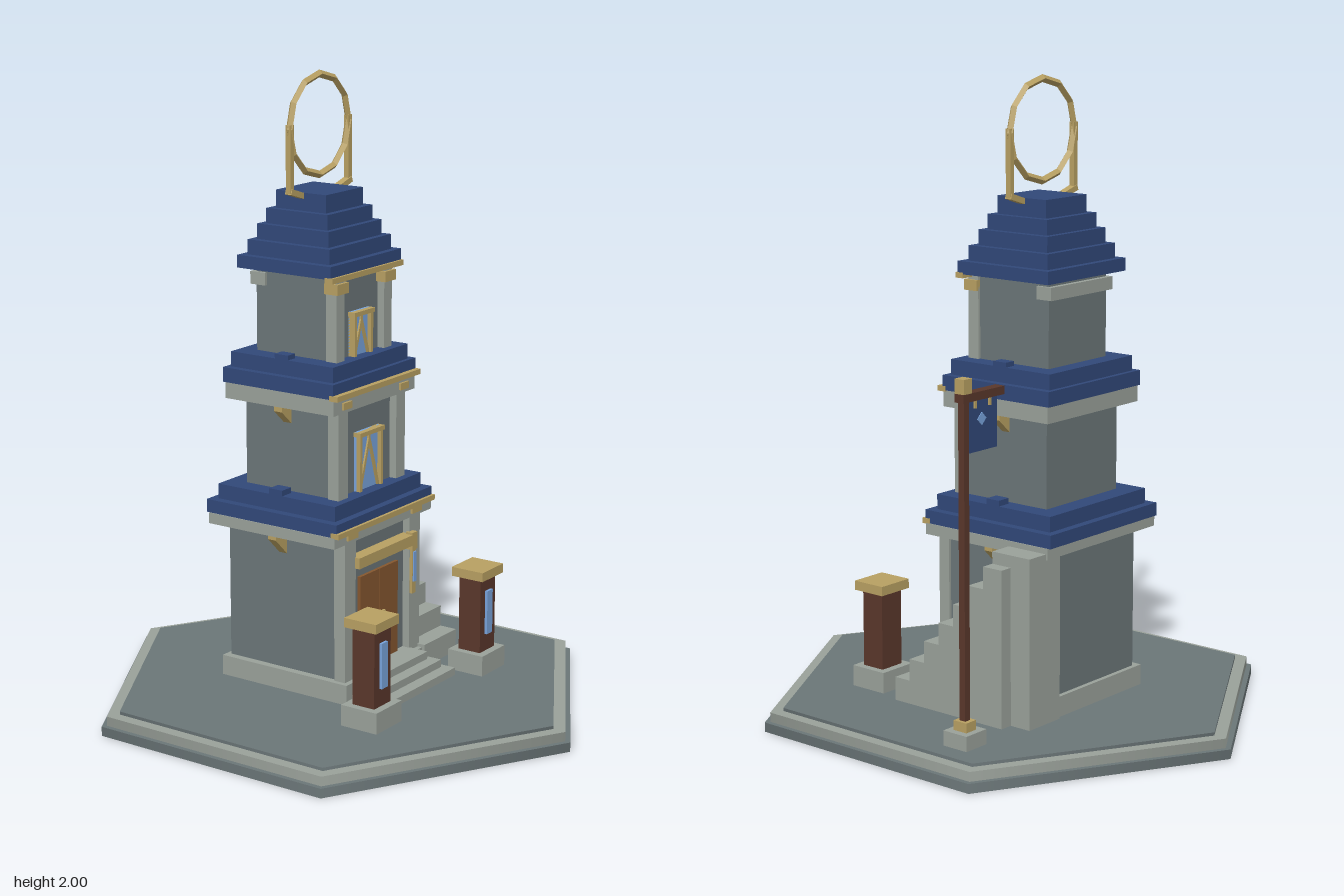
import * as THREE from 'three';

const mat = (name, color) => {
  const m = new THREE.MeshStandardMaterial({ color });
  m.name = name;
  return m;
};

export function createModel() {
  const root = new THREE.Group();
  root.name = 'pagodaTower';
  const light = mat('lightStone', 0x9aa19a), dark = mat('darkStone', 0x6b7678);
  const navy = mat('navyTile', 0x314879), gold = mat('gold', 0xb8a062);
  const wood = mat('doorWood', 0x85572f), post = mat('darkWood', 0x5a372b);
  const glass = mat('blueGlass', 0x78a3dc);

  const add = (name, geo, m, parent = root) => {
    const mesh = new THREE.Mesh(geo, m);
    mesh.name = name;
    parent.add(mesh);
    return mesh;
  };
  // box given by its limits on each axis
  const box = (name, m, x0, x1, y0, y1, z0, z1, parent = root) => {
    const b = add(name, new THREE.BoxGeometry(x1 - x0, y1 - y0, z1 - z0), m, parent);
    b.position.set((x0 + x1) / 2, (y0 + y1) / 2, (z0 + z1) / 2);
    return b;
  };
  // the same box on both sides of x = 0
  const pair = (name, m, x0, x1, ...rest) => {
    box(name + 'Left', m, x0, x1, ...rest);
    box(name + 'Right', m, -x1, -x0, ...rest);
  };
  // straight square bar between two points in a plane of constant z
  const bar = (name, m, xa, ya, xb, yb, z, w, d) => {
    const b = add(name, new THREE.BoxGeometry(w, Math.hypot(xb - xa, yb - ya), d), m);
    b.position.set((xa + xb) / 2, (ya + yb) / 2, z);
    b.rotation.z = -Math.atan2(xb - xa, yb - ya);
  };
  const CZ = -0.1; // tower axis

  // hexagonal base in three tiers
  [[0.83, 0, 0.03, dark], [0.812, 0.03, 0.06, light], [0.77, 0.06, 0.07, dark]].forEach(([r, y0, y1, m], i) => {
    add('baseTier' + i, new THREE.CylinderGeometry(r, r, y1 - y0, 6).toNonIndexed(), m).position.y = (y0 + y1) / 2;
  });

  // foundation and front steps
  box('foundation', light, -0.225, 0.225, 0.07, 0.135, -0.325, 0.16);
  [[0.195, 0.29], [0.175, 0.25], [0.155, 0.21]].forEach(([w, z], i) =>
    box('frontStep' + i, light, -w, w, 0.07, 0.095 + 0.025 * i, 0.1, z));

  // storeys: wall, corner posts, capitals, cornice, gold trim
  const storeys = [
    { w: 0.205, y0: 0.1, y1: 0.6, zb: -0.31, zf: 0.142, pw: 0.055, cw: 0.268, cy: 0.585, ct: 0.62, cb: -0.34, cf: 0.145, tw: 0.268, tz: 0.16, ty: 0.618 },
    { w: 0.178, y0: 0.66, y1: 1.02, zb: -0.26, zf: 0.1, pw: 0.045, cw: 0.222, cy: 0.988, ct: 1.04, cb: -0.303, cf: 0.11, tw: 0.228, tz: 0.128, ty: 1.036 },
    { w: 0.145, y0: 1.09, y1: 1.41, zb: -0.24, zf: 0.07, pw: 0.038, tw: 0.192, tz: 0.085, ty: 1.388 },
  ];
  storeys.forEach((s, i) => {
    box('wall' + i, dark, -s.w + 0.005, s.w - 0.005, s.y0, s.y1, s.zb, s.zf - 0.025);
    pair('cornerPost' + i, light, s.w - s.pw, s.w + 0.004, s.y0, s.y1, s.zf - 0.04, s.zf);
    if (s.cw) {
      box('cornice' + i, light, -s.cw, s.cw, s.cy, s.ct, s.cb, s.cf);
      pair('capital' + i, gold, s.w - s.pw, s.w, s.cy + 0.012, s.cy + 0.034, s.zf - 0.03, s.cf + 0.008);
    }
    box('goldTrim' + i, gold, -s.tw, s.tw, s.ty, s.ty + 0.017, s.tz - 0.03, s.tz);
  });
  pair('capital2', gold, 0.098, 0.158, 1.347, 1.38, 0.03, 0.08);
  box('backCornice', light, -0.15, 0.15, 1.345, 1.385, -0.257, -0.2);

  // stepped roofs: half width, half depth, bottom, top
  [
    [0.265, 0.25, 0.62, 0.662], [0.237, 0.225, 0.662, 0.71],
    [0.226, 0.21, 1.04, 1.087], [0.203, 0.195, 1.087, 1.135],
    [0.19, 0.177, 1.4, 1.44], [0.165, 0.155, 1.44, 1.487], [0.142, 0.135, 1.487, 1.535],
    [0.12, 0.116, 1.535, 1.582], [0.098, 0.095, 1.582, 1.638],
  ].forEach(([w, d, y0, y1], i) => box('roofTier' + i, navy, -w, w, y0, y1, CZ - d, CZ + d));
  pair('roofKnob0', navy, 0.19, 0.237, 0.7, 0.728, CZ - 0.025, CZ + 0.025);
  pair('roofKnob1', navy, 0.165, 0.203, 1.12, 1.15, CZ - 0.025, CZ + 0.025);

  // triangular side brackets under the lower two eaves
  const bracket = (x, y, w, h) => {
    [1, -1].forEach((s) => {
      const shape = new THREE.Shape([[x, y], [x + w, y], [x + w, y - 0.015], [x, y - h]].map(([a, b]) => new THREE.Vector2(a * s, b)));
      add('eaveBracket', new THREE.ExtrudeGeometry(shape, { depth: 0.03, bevelEnabled: false }), gold).position.z = CZ - 0.015;
    });
  };
  bracket(0.198, 0.585, 0.06, 0.073);
  bracket(0.172, 0.988, 0.05, 0.06);

  // double door with handles and lintel
  pair('doorLeaf', wood, 0.001, 0.105, 0.14, 0.45, 0.1, 0.128);
  pair('doorHandle', gold, 0.015, 0.024, 0.27, 0.31, 0.125, 0.137);
  box('doorLintel', gold, -0.155, 0.155, 0.495, 0.53, 0.11, 0.16);
  box('lanternHanger', gold, 0.14, 0.168, 0.48, 0.537, 0.135, 0.16);
  box('lanternFrame', gold, 0.152, 0.172, 0.33, 0.48, 0.135, 0.152);
  box('lanternGlass', glass, 0.155, 0.169, 0.37, 0.47, 0.152, 0.157);

  // framed windows with slanted glazing bars
  const windowAt = (w, y0, y1, z) => {
    box('windowPane', glass, -w, w, y0, y1, z - 0.01, z + 0.004);
    pair('windowJamb', gold, w - 0.012, w, y0, y1, z - 0.01, z + 0.018);
    box('windowHead', gold, -w - 0.004, w + 0.004, y1 - 0.014, y1, z - 0.01, z + 0.022);
    [1, -1].forEach((s) => bar('glazingBar', gold, s * (w - 0.012), y0, 0, y1 - 0.03, z + 0.006, 0.01, 0.008));
    bar('glazingBar', gold, 0, y1 - 0.035, 0, y1 - 0.01, z + 0.006, 0.01, 0.008);
  };
  windowAt(0.063, 0.705, 0.9, 0.08);
  windowAt(0.05, 1.13, 1.275, 0.05);

  // side staircase and landing
  for (let i = 0; i < 7; i++) {
    box('stairStep' + i, light, 0.2, 0.388, 0.07, 0.145 + 0.07 * i, i === 6 ? -0.262 : 0.11 - 0.06 * i, 0.17 - 0.06 * i);
  }
  box('stairLanding', light, 0.2, 0.345, 0.07, 0.603, -0.335, -0.19);

  // roof ring and its legs
  const ring = add('roofRing', new THREE.TorusGeometry(0.155, 0.012, 4, 12).toNonIndexed(), gold);
  ring.geometry.computeVertexNormals();
  ring.position.set(0, 1.836, CZ);
  [1, -1].forEach((s) => {
    bar('ringLeg', gold, s * 0.153, 1.64, s * 0.153, 1.85, CZ, 0.018, 0.018);
    bar('ringFoot', gold, s * 0.16, 1.648, s * 0.09, 1.626, CZ, 0.018, 0.024);
  });

  // two lamp pillars in front
  [0.3, -0.3].forEach((x) => {
    const g = new THREE.Group();
    g.name = 'lampPillar';
    g.position.set(x, 0, 0.305);
    root.add(g);
    box('pillarPlinth', light, -0.068, 0.068, 0.07, 0.137, -0.065, 0.065, g);
    box('pillarShaft', post, -0.044, 0.044, 0.137, 0.385, -0.04, 0.04, g);
    box('pillarCap', gold, -0.062, 0.062, 0.385, 0.415, -0.058, 0.058, g);
    box('pillarLight', glass, -0.016, 0.016, 0.195, 0.34, 0.04, 0.049, g);
  });

  // banner pole
  const pole = new THREE.Group();
  pole.name = 'bannerPole';
  pole.position.set(0.56, 0, -0.265);
  root.add(pole);
  box('poleBase', light, -0.045, 0.045, 0.07, 0.117, -0.045, 0.045, pole);
  box('poleCollar', gold, -0.022, 0.022, 0.117, 0.147, -0.025, 0.025, pole);
  box('poleShaft', post, -0.011, 0.011, 0.147, 1.135, -0.011, 0.011, pole);
  box('poleBeam', post, -0.163, 0.02, 1.105, 1.13, -0.017, 0.017, pole);
  box('poleFinial', gold, -0.018, 0.018, 1.13, 1.174, -0.018, 0.018, pole);
  box('bannerCloth', navy, -0.145, -0.011, 0.95, 1.105, -0.004, 0.004, pole);
  [-0.11, -0.045].forEach((x) => box('bannerHook', gold, x - 0.005, x + 0.005, 1.08, 1.107, -0.009, 0.009, pole));
  const gem = add('bannerDiamond', new THREE.BoxGeometry(0.028, 0.028, 0.012), glass, pole);
  gem.position.set(-0.075, 1.045, 0);
  gem.rotation.z = Math.PI / 4;

  return root;
}
